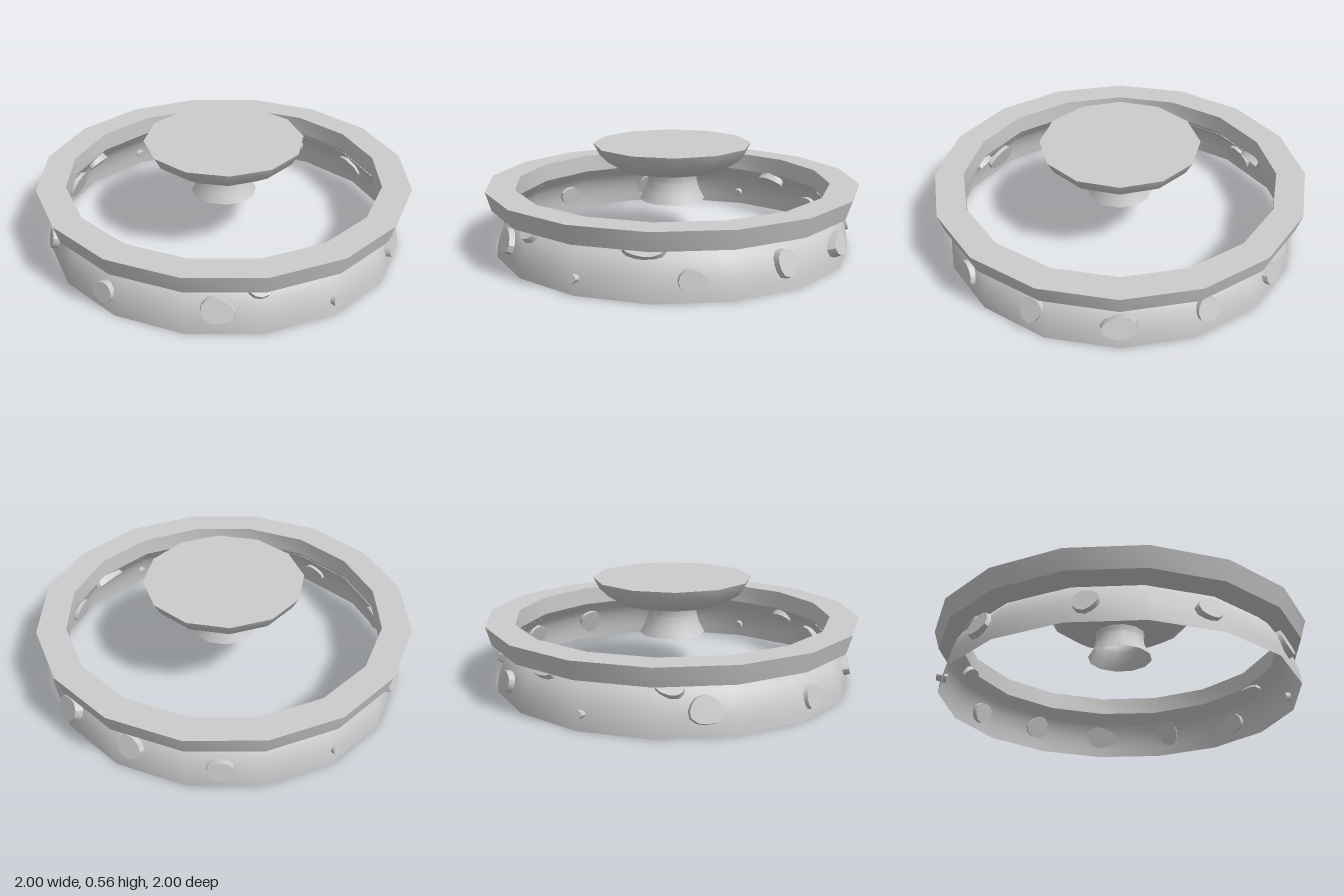
import * as THREE from 'three';
import { toCreasedNormals } from 'three/addons/utils/BufferGeometryUtils.js';

const material = new THREE.MeshStandardMaterial({ color: 0xcccccc, side: THREE.DoubleSide });
const rad = THREE.MathUtils.degToRad;

// Revolve a [radius, height] profile, smooth around and sharp at strong corners
function lathe(name, profile, sides, crease = 0.7) {
  const points = profile.map(([r, y]) => new THREE.Vector2(r, y));
  const geometry = toCreasedNormals(new THREE.LatheGeometry(points, sides), crease);
  const mesh = new THREE.Mesh(geometry, material);
  mesh.name = name;
  return mesh;
}

// Flat, irregular, slightly tapered pebble whose axis is +z
function pebble(width, height, seed) {
  const sides = 12, depth = 0.055;
  const geometry = new THREE.CylinderGeometry(0.9, 1, depth, sides);
  geometry.rotateX(Math.PI / 2);
  const p = geometry.attributes.position;
  for (let i = 0; i < p.count; i++) {
    const a = Math.atan2(p.getY(i), p.getX(i));
    const wobble = 1 + 0.07 * Math.sin(2 * a + seed) + 0.06 * Math.cos(3 * a + seed * 2.3);
    p.setXY(i, p.getX(i) * width * wobble, p.getY(i) * height * wobble);
  }
  return new THREE.Mesh(toCreasedNormals(geometry, 0.7), material);
}

export function createModel() {
  const model = new THREE.Group();

  // Pool: thin curved wall under a heavy coping
  const wall = [[0.953, 0], [0.948, 0.05], [0.938, 0.1], [0.92, 0.15], [0.895, 0.19], [0.86, 0.225]];
  model.add(lathe('poolWall', wall, 16));
  model.add(lathe('poolRim', [
    [0.845, 0.25], [0.87, 0.22], [0.97, 0.25], [1, 0.35], [0.845, 0.35], [0.845, 0.25],
  ], 16, 0.45));

  // Upper bowl with a flat water level, on a flared hollow pedestal
  model.add(lathe('bowl', [[0.135, 0.392], [0.295, 0.43], [0.39, 0.49], [0.425, 0.555], [0, 0.555]], 12));
  model.add(lathe('pedestal', [[0.175, 0.25], [0.147, 0.3], [0.133, 0.35], [0.132, 0.37], [0.138, 0.395]], 12));

  // Stones set in the wall: [angle from front, height, half width, half height]
  const stones = [
    [0, 0.08, 0.024, 0.024], [20, 0.215, 0.1, 0.045], [34, 0.1, 0.075, 0.056],
    [63, 0.13, 0.066, 0.07], [90, 0.12, 0.09, 0.066], [117, 0.13, 0.066, 0.07],
    [145, 0.1, 0.075, 0.056], [163, 0.215, 0.09, 0.045], [181, 0.08, 0.024, 0.024],
    [207, 0.205, 0.07, 0.045], [217, 0.12, 0.092, 0.068], [253, 0.1, 0.066, 0.06],
    [288, 0.1, 0.066, 0.06], [324, 0.12, 0.09, 0.068], [337, 0.205, 0.07, 0.045],
  ];
  const group = new THREE.Group();
  group.name = 'wallStones';
  stones.forEach(([angle, y, w, h], i) => {
    const k = Math.max(1, wall.findIndex((q) => q[1] >= y));
    const [r0, y0] = wall[k - 1], [r1, y1] = wall[k];
    const radius = r0 + (r1 - r0) * (y - y0) / (y1 - y0);
    // Flat facets lie a little inside the corner radius
    const sector = rad((((angle % 22.5) + 22.5) % 22.5) - 11.25);
    const facet = radius * Math.cos(Math.PI / 16) / Math.cos(sector);
    const stone = pebble(w, h, i * 1.7);
    stone.position.set(0, y, facet - 0.002);
    stone.rotation.x = -Math.atan2(r0 - r1, y1 - y0);
    const holder = new THREE.Group();
    holder.name = 'wallStone';
    holder.rotation.y = rad(angle);
    holder.add(stone);
    group.add(holder);
  });
  model.add(group);
  return model;
}
